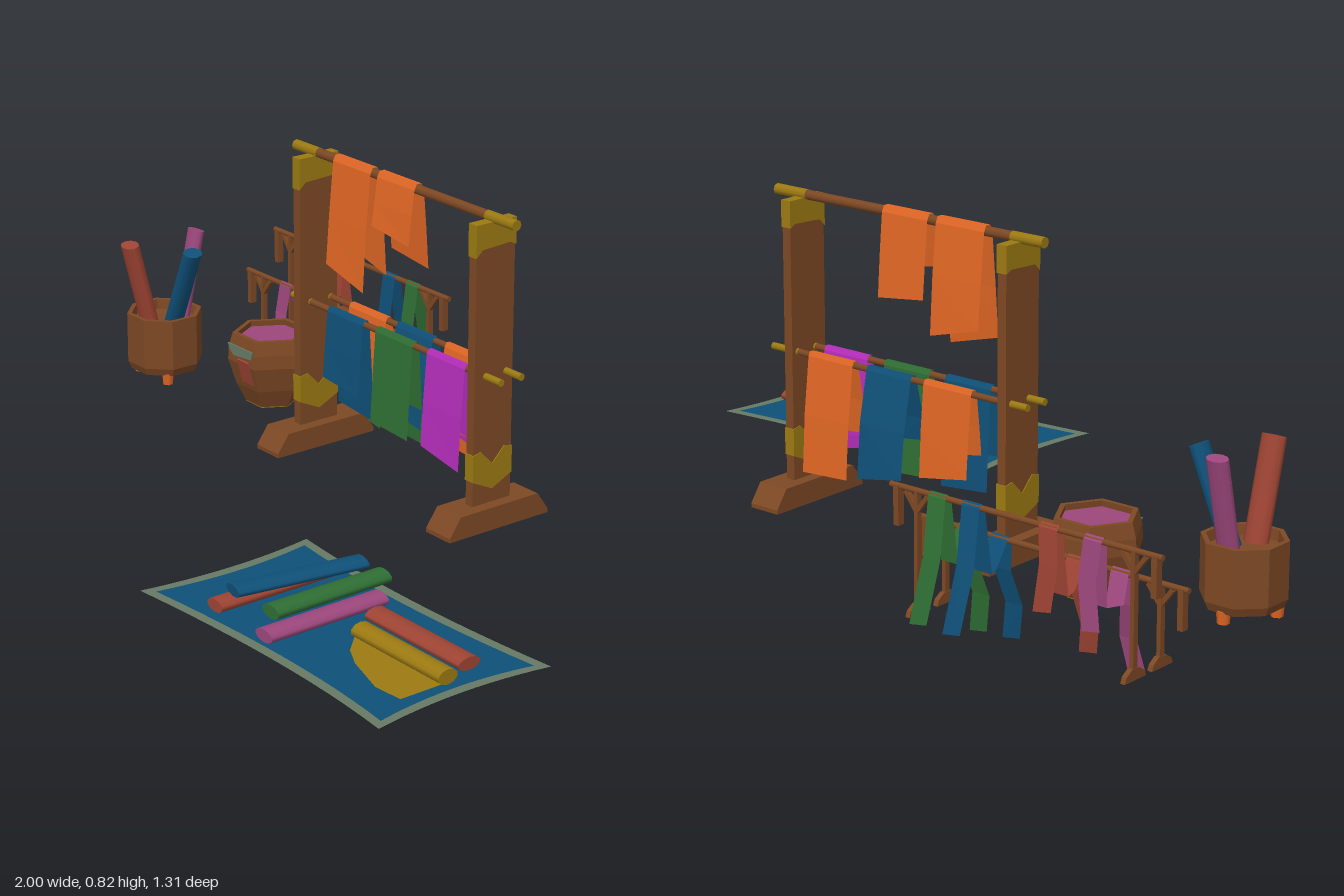
import * as THREE from 'three';

const mat = (name, color) => {
  const m = new THREE.MeshStandardMaterial({ color, side: THREE.DoubleSide });
  m.name = name;
  return m;
};

export function createModel() {
  const model = new THREE.Group();
  const wood = mat('wood', 0x7d4824);
  const gold = mat('gold', 0x9c7a12);
  const orange = mat('orange cloth', 0xdf6624);
  const blue = mat('blue cloth', 0x0f5078);
  const green = mat('green cloth', 0x2f6e34);
  const magenta = mat('magenta cloth', 0xb42dba);
  const mauve = mat('mauve cloth', 0x9c477c);
  const red = mat('red cloth', 0x9e4433);
  const olive = mat('faded green', 0x667a64);

  const add = (name, geo, material, x = 0, y = 0, z = 0) => {
    const m = new THREE.Mesh(geo, material);
    m.name = name;
    m.position.set(x, y, z);
    model.add(m);
    return m;
  };
  const box = (name, material, w, h, d, x, y, z) =>
    add(name, new THREE.BoxGeometry(w, h, d), material, x, y, z);

  // Outline in (z, y), extruded along x and centred on x
  const side = (name, material, pts, width, x) => {
    const shape = new THREE.Shape(pts.map(([z, y]) => new THREE.Vector2(z, y)));
    const geo = new THREE.ExtrudeGeometry(shape, { depth: width, bevelEnabled: false });
    geo.translate(0, 0, -width / 2).rotateY(-Math.PI / 2);
    return add(name, geo, material, x);
  };

  // Round rod along x
  const rod = (name, material, x0, x1, y, z, r) =>
    add(name, new THREE.CylinderGeometry(r, r, x1 - x0, 8).rotateZ(Math.PI / 2), material, (x0 + x1) / 2, y, z);

  // Flattened roll of cloth between two points
  const roll = (name, material, a, b, w, t, hint) => {
    const A = new THREE.Vector3(...a), B = new THREE.Vector3(...b);
    const Y = B.clone().sub(A), len = Y.length();
    Y.normalize();
    const X = Y.clone().cross(new THREE.Vector3(...hint)).normalize();
    const Z = X.clone().cross(Y);
    const geo = new THREE.CylinderGeometry(0.5, 0.5, len, 10).scale(w, 1, t);
    const m = add(name, geo, material);
    m.quaternion.setFromRotationMatrix(new THREE.Matrix4().makeBasis(X, Y, Z));
    m.position.copy(A.add(B).multiplyScalar(0.5));
  };

  // Strip of cloth following a (z, y, xShift) path, with slanted ends
  const drape = (name, material, x0, x1, path, slant = 0.012) => {
    const pos = [], idx = [];
    path.forEach(([z, y, dx = 0], i) => {
      const s = i === 0 || i === path.length - 1 ? slant : 0;
      pos.push(x0 + dx, y + s, z, x1 + dx, y - s, z);
      if (i) {
        const k = i * 2;
        idx.push(k - 2, k - 1, k, k - 1, k + 1, k);
      }
    });
    const geo = new THREE.BufferGeometry();
    geo.setAttribute('position', new THREE.Float32BufferAttribute(pos, 3));
    geo.setIndex(idx);
    const flat = geo.toNonIndexed();
    flat.computeVertexNormals();
    add(name, flat, material);
  };
  // Cloth folded over a bar
  const hang = (name, material, x0, x1, y, z, r, front, back, spread, slant) => drape(name, material, x0, x1, [
    [z + spread, front], [z + spread * 0.75, (y + front) / 2], [z + r, y], [z + r * 0.5, y + r],
    [z - r * 0.5, y + r], [z - r, y], [z - spread * 0.75, (y + back) / 2], [z - spread, back],
  ], slant);

  // Large rack: feet, posts and painted bands
  const zc = -0.178;
  for (const x of [-0.286, 0.357]) {
    side('rackFoot', wood, [[zc - 0.147, 0.075], [zc + 0.147, 0.075], [zc + 0.147, 0.085],
      [zc + 0.115, 0.13], [zc - 0.115, 0.13], [zc - 0.147, 0.085]], 0.084, x);
    box('rackPost', wood, 0.024, 0.68, 0.112, x, 0.46, zc);
    side('postTopBand', gold, [[zc - 0.058, 0.802], [zc + 0.058, 0.802], [zc + 0.058, 0.725],
      [zc + 0.04, 0.742], [zc - 0.04, 0.746], [zc - 0.058, 0.738]], 0.028, x);
    side('postLowBand', gold, [[zc - 0.058, 0.255], [zc - 0.035, 0.26], [zc, 0.225], [zc + 0.035, 0.26],
      [zc + 0.058, 0.255], [zc + 0.058, 0.19], [zc, 0.163], [zc - 0.058, 0.19]], 0.028, x);
  }

  // Rack bars with gold ends
  for (const [x0, x1, y, z, r] of [[-0.36, 0.437, 0.808, zc, 0.012],
    [-0.345, 0.423, 0.44, -0.155, 0.008], [-0.345, 0.423, 0.44, -0.215, 0.008]]) {
    rod('rackBar', wood, -0.27, 0.34, y, z, r);
    rod('barEnd', gold, x0, -0.27, y, z, r * 1.1);
    rod('barEnd', gold, 0.34, x1, y, z, r * 1.1);
  }

  // Cloths on the large rack
  hang('topCloth', orange, -0.2, -0.06, 0.808, zc, 0.014, 0.54, 0.57, 0.035, 0.018);
  hang('topCloth', orange, -0.035, 0.1, 0.808, zc, 0.014, 0.685, 0.62, 0.03, 0.008);
  hang('frontCloth', blue, -0.197, -0.062, 0.44, -0.155, 0.01, 0.27, 0.197, 0.024, 0.006);
  hang('frontCloth', green, -0.015, 0.122, 0.44, -0.155, 0.01, 0.215, 0.195, 0.024, 0.004);
  hang('frontCloth', magenta, 0.173, 0.308, 0.44, -0.155, 0.01, 0.205, 0.25, 0.026);
  hang('rearCloth', orange, -0.19, -0.05, 0.44, -0.215, 0.01, 0.28, 0.235, 0.026);
  hang('rearCloth', blue, -0.012, 0.122, 0.44, -0.215, 0.01, 0.24, 0.2, 0.045);
  hang('rearCloth', orange, 0.165, 0.302, 0.44, -0.215, 0.01, 0.26, 0.168, 0.035, 0.004);

  // Low double rail with stands, braces and end plates
  for (const [y, z] of [[0.255, -0.503], [0.35, -0.593]]) {
    rod('lowRail', wood, -1, -0.28, y, z, 0.007);
    for (const s of [-1, 1]) {
      const x = -0.6425 + s * 0.2875;
      box('railPost', wood, 0.01, y - 0.08, 0.014, x, (y + 0.08) / 2, z);
      side('railFoot', wood, [[z - 0.035, 0.075], [z + 0.035, 0.075], [z + 0.03, 0.088],
        [z + 0.012, 0.1], [z - 0.012, 0.1], [z - 0.03, 0.088]], 0.012, x);
      box('railEndPlate', wood, 0.014, 0.09, 0.018, x + s * 0.054, y - 0.042, z);
      for (const d of [-1, 1]) {
        const b = box('railBrace', wood, 0.01, 0.05, 0.012, x + d * 0.016, y - 0.025, z);
        b.rotation.z = -d * 0.65;
      }
    }
  }

  // Scarves over both rails
  for (const [m, x0, x1, low, zBack, yBack, dx] of [
    [mauve, -0.852, -0.806, 0.025, -0.615, 0.16, -0.008], [red, -0.738, -0.69, 0.035, -0.613, 0.17, 0.006],
    [blue, -0.532, -0.484, 0.015, -0.655, 0.08, 0.008], [green, -0.44, -0.392, 0.008, -0.655, 0.08, 0.008]]) {
    drape('scarf', m, x0, x1, [[-0.458, low, dx], [-0.468, 0.1, -dx], [-0.488, 0.18, dx], [-0.496, 0.256],
      [-0.503, 0.264], [-0.511, 0.255], [-0.535, 0.2, dx], [-0.57, 0.2, -dx], [-0.584, 0.35], [-0.593, 0.359],
      [-0.602, 0.35], [(zBack - 0.602) / 2, (0.35 + yBack) / 2 + 0.01, -dx], [zBack, yBack, dx]], 0.004);
  }

  // Hexagonal dye pot, filled with colour and marked by drips
  const px = -0.57, pz = -0.257;
  const hexLathe = (pts) => {
    const g = new THREE.LatheGeometry(pts.map(([r, y]) => new THREE.Vector2(r, y)), 6, Math.PI / 6).toNonIndexed();
    g.computeVertexNormals();
    return g;
  };
  add('dyePot', hexLathe([[0.066, 0.077], [0.09, 0.125], [0.11, 0.19], [0.108, 0.225], [0.098, 0.26],
    [0.085, 0.26], [0.088, 0.235]]), wood, px, 0, pz);
  const disc = (name, m, r, y) =>
    add(name, new THREE.CylinderGeometry(r, r, 0.006, 6).rotateY(Math.PI / 6), m, px, y, pz);
  disc('potBase', gold, 0.066, 0.078);
  disc('dyeSurface', mauve, 0.086, 0.243);
  const smear = new THREE.Shape([[-0.053, 0.235], [0.05, 0.235], [0.045, 0.214], [-0.03, 0.208], [-0.045, 0.222]]
    .map((p) => new THREE.Vector2(...p)));
  add('dyeSmear', new THREE.ExtrudeGeometry(smear, { depth: 0.004, bevelEnabled: false }), olive, px, 0, pz + 0.094);
  const drip = box('dyeDrip', red, 0.045, 0.065, 0.005, px + 0.012, 0.172, pz + 0.09);
  drip.rotation.x = 0.26;

  // Basket on small pegs holding three rolls
  const bx = -0.885, bz = -0.15;
  const basket = new THREE.LatheGeometry([[0, 0.105], [0.088, 0.1], [0.097, 0.12], [0.097, 0.25],
    [0.085, 0.25], [0.083, 0.225], [0, 0.225]].map((p) => new THREE.Vector2(...p)), 8, Math.PI / 8).toNonIndexed();
  basket.computeVertexNormals();
  add('basket', basket, wood, bx, 0, bz);
  for (let i = 0; i < 3; i++) {
    const a = Math.PI / 6 + i * Math.PI * 2 / 3;
    add('basketPeg', new THREE.CylinderGeometry(0.016, 0.014, 0.03, 6), orange,
      bx + Math.cos(a) * 0.072, 0.09, bz + Math.sin(a) * 0.072);
  }
  roll('basketRoll', red, [-0.88, 0.16, -0.118], [-0.88, 0.447, -0.045], 0.06, 0.04, [0, 0, 1]);
  roll('basketRoll', mauve, [-0.88, 0.16, -0.185], [-0.88, 0.447, -0.25], 0.055, 0.035, [0, 0, 1]);
  roll('basketRoll', blue, [-0.875, 0.17, -0.155], [-0.765, 0.433, -0.157], 0.055, 0.04, [1, 0, 0]);

  // Ground mat with bowed-in edges and a border
  const matPath = (P, i) => {
    const [x0, x1, z0, z1] = [0.165 + i, 0.998 - i, 0.197 + i, 0.655 - i];
    P.moveTo(x0, -z0);
    P.quadraticCurveTo(0.55, -z0 - 0.045, x1, -z0);
    P.quadraticCurveTo(x1 - 0.045, -0.42, x1, -z1);
    P.quadraticCurveTo(0.65, -z1 + 0.045, x0, -z1);
    P.quadraticCurveTo(x0 + 0.04, -0.42, x0, -z0);
    return P;
  };
  const border = matPath(new THREE.Shape(), 0);
  border.holes.push(matPath(new THREE.Path(), 0.025));
  const lay = (s) => new THREE.ShapeGeometry(s).rotateX(-Math.PI / 2);
  add('matBorder', lay(border), olive, 0, 0.067, 0);
  add('matCentre', lay(matPath(new THREE.Shape(), 0.025)), blue, 0, 0.067, 0);

  // Rolls of cloth lying on the mat
  const up = [0, 1, 0];
  roll('matRoll', red, [0.374, 0.094, 0.292], [0.374, 0.094, 0.605], 0.056, 0.03, up);
  roll('matRoll', green, [0.473, 0.094, 0.22], [0.473, 0.094, 0.53], 0.06, 0.032, up);
  roll('matRoll', mauve, [0.556, 0.092, 0.295], [0.556, 0.092, 0.61], 0.06, 0.03, up);
  roll('matRoll', blue, [0.392, 0.126, 0.57], [0.444, 0.126, 0.255], 0.062, 0.026, up);
  roll('matRoll', red, [0.612, 0.092, 0.355], [0.922, 0.092, 0.355], 0.06, 0.03, up);
  roll('matRoll', gold, [0.668, 0.1, 0.44], [0.955, 0.1, 0.44], 0.052, 0.035, up);
  const sheet = new THREE.Shape([[0.668, -0.455], [0.955, -0.455], [0.955, -0.565], [0.88, -0.57],
    [0.77, -0.535], [0.715, -0.505]].map((p) => new THREE.Vector2(...p)));
  add('unrolledSheet', lay(sheet), gold, 0, 0.088, 0);

  return model;
}
